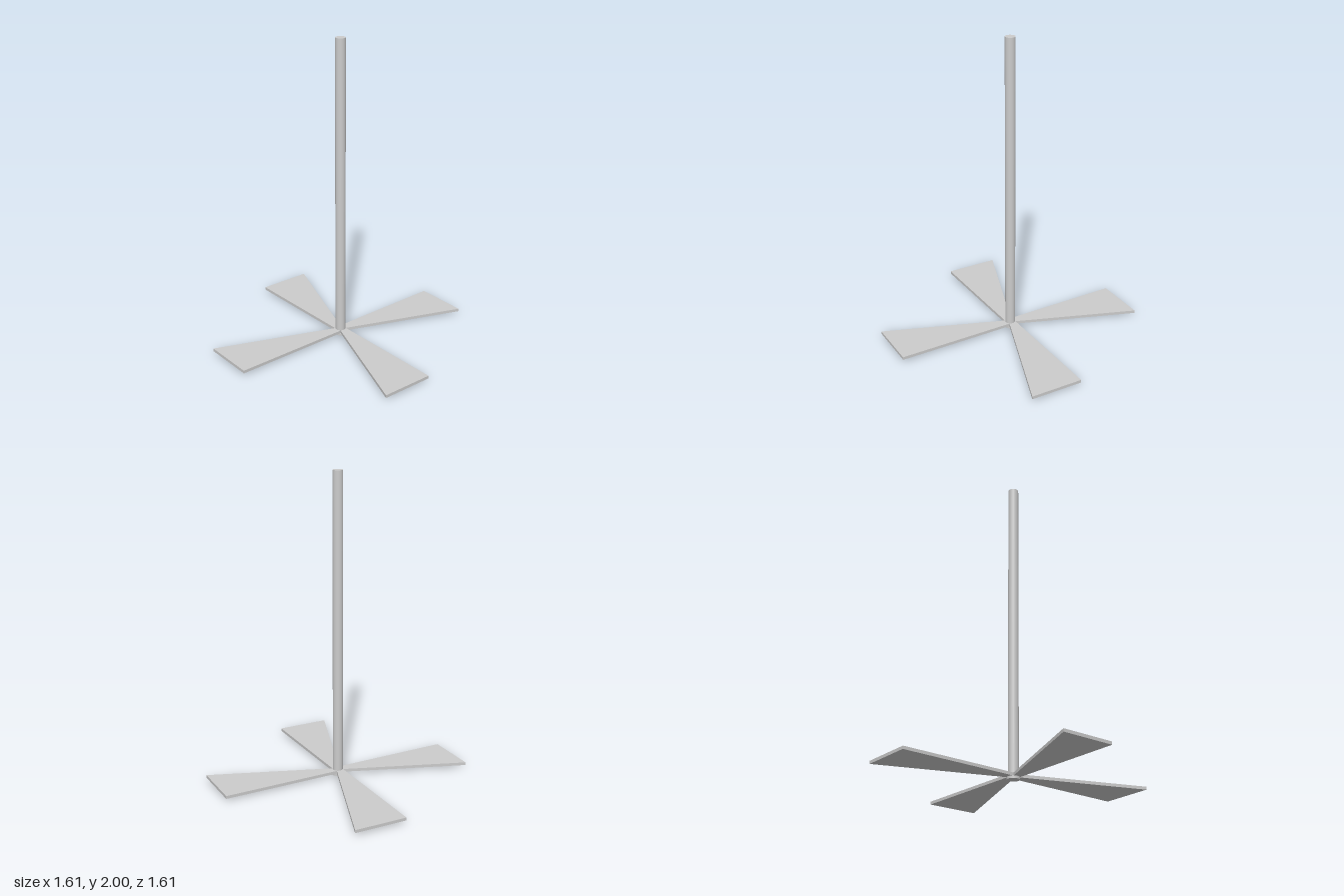
import * as THREE from 'three';

export function createModel() {
  const model = new THREE.Group();
  const material = new THREE.MeshStandardMaterial({ color: 0xcccccc });

  const add = (name, geometry, y = 0) => {
    const mesh = new THREE.Mesh(geometry, material);
    mesh.name = name;
    mesh.position.y = y;
    model.add(mesh);
    return mesh;
  };

  // Tall shaft and the small hub cap under the blades
  add('shaft', new THREE.CylinderGeometry(0.033, 0.033, 1.99, 20), 1.005);
  add('hub', new THREE.CylinderGeometry(0.04, 0.04, 0.016, 20), 0.008);

  // One flat, flaring blade along +x (shape y becomes z, thickness goes down)
  const outline = new THREE.Shape([
    [0, -0.028], [0.803, -0.043], [0.803, 0.303], [0.03, 0.022], [0, 0.011],
  ].map(([x, z]) => new THREE.Vector2(x, z)));
  const blade = new THREE.ExtrudeGeometry(outline, { depth: 0.019, bevelEnabled: false });
  blade.rotateX(Math.PI / 2);

  // Four blades around the shaft
  for (let i = 0; i < 4; i++) {
    add('blade' + (i + 1), blade, 0.034).rotation.y = i * Math.PI / 2;
  }
  return model;
}
